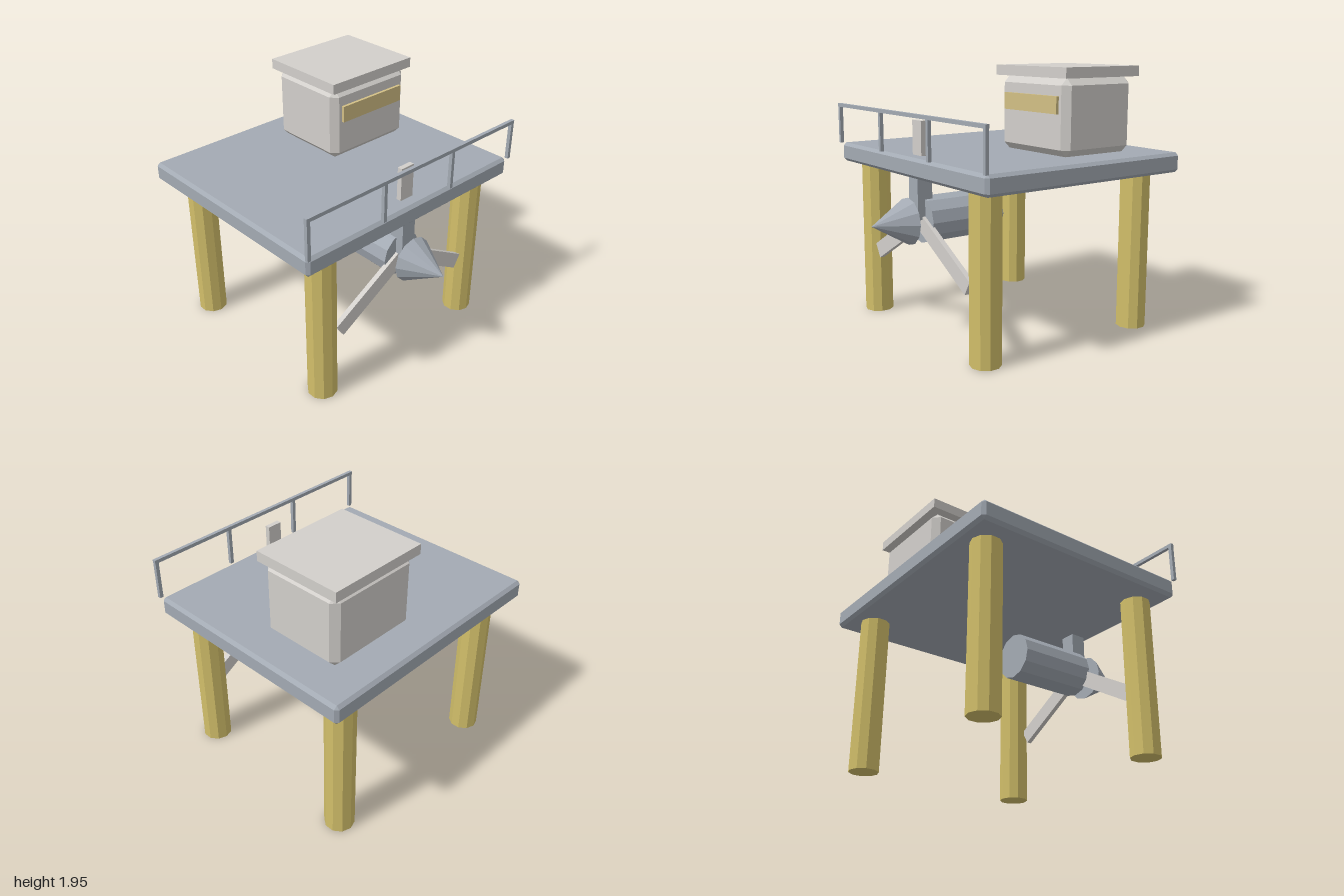
import * as THREE from 'three';
import { ConvexGeometry } from 'three/addons/geometries/ConvexGeometry.js';

export function createModel() {
  const model = new THREE.Group();
  model.name = 'turbinePlatform';

  const material = (name, color) => {
    const m = new THREE.MeshStandardMaterial({ color, flatShading: true });
    m.name = name;
    return m;
  };
  const steel = material('steelGrey', 0xa3aab3);
  const pale = material('paleGrey', 0xd2cfcb);
  const yellow = material('pileYellow', 0xd2bf6a);
  const glass = material('windowAmber', 0xd2bf85);

  const add = (name, geometry, mat, x, y, z, parent = model) => {
    const mesh = new THREE.Mesh(geometry, mat);
    mesh.name = name;
    mesh.position.set(x, y, z);
    parent.add(mesh);
    return mesh;
  };
  const box = (w, h, d) => new THREE.BoxGeometry(w, h, d);

  // Box with every edge cut at 45 degrees
  const chamferBox = (w, h, d, c) => {
    const points = [];
    for (const sx of [-1, 1]) for (const sy of [-1, 1]) for (const sz of [-1, 1]) {
      for (let axis = 0; axis < 3; axis++) {
        const inset = [c, c, c];
        inset[axis] = 0;
        points.push(new THREE.Vector3(
          sx * (w / 2 - inset[0]), sy * (h / 2 - inset[1]), sz * (d / 2 - inset[2])));
      }
    }
    return new ConvexGeometry(points);
  };

  // Deck and its four piles
  add('deck', chamferBox(1.97, 0.145, 1.725, 0.023), steel, 0, 1.262, -0.137);
  for (const x of [-0.74, 0.74]) for (const z of [0.56, -0.8]) {
    add('pile', new THREE.CylinderGeometry(0.11, 0.11, 1.2, 10), yellow, x, 0.6, z);
  }

  // Cabin with overhanging roof and front window
  add('cabin', chamferBox(0.74, 0.545, 0.64, 0.05), pale, 0.37, 1.607, -0.43);
  add('cabinRoof', box(0.785, 0.075, 0.69), pale, 0.37, 1.917, -0.433);
  add('cabinWindow', box(0.59, 0.123, 0.04), glass, 0.37, 1.695, -0.108);

  // Front railing
  const railing = new THREE.Group();
  railing.name = 'railing';
  model.add(railing);
  add('topRail', box(2, 0.027, 0.027), steel, 0, 1.631, 0.731, railing);
  for (let i = 0; i < 4; i++) {
    add('railPost', box(0.027, 0.3, 0.027), steel, -0.985 + i * 0.6567, 1.485, 0.731, railing);
  }

  // Turbine hung below the deck
  const turbine = new THREE.Group();
  turbine.name = 'turbine';
  turbine.position.set(0, 0.867, 0);
  model.add(turbine);
  const body = new THREE.CylinderGeometry(0.172, 0.172, 0.61, 12).rotateX(Math.PI / 2);
  add('turbineBody', body, steel, 0, 0, 0.295, turbine);
  const nose = new THREE.ConeGeometry(0.172, 0.295, 12).rotateX(Math.PI / 2);
  add('noseCone', nose, steel, 0, 0, 0.852, turbine);
  add('strut', box(0.12, 0.32, 0.12), steel, 0, 0.17, 0.6, turbine);

  // Three flat blades, the upper one passing up through the deck
  for (let i = 0; i < 3; i++) {
    const geometry = box(0.117, 0.715, 0.038).translate(0, 0.3575, 0);
    const blade = add('blade', geometry, pale, 0, 0, 0.606, turbine);
    blade.rotation.z = i * Math.PI * 2 / 3;
  }

  return model;
}
